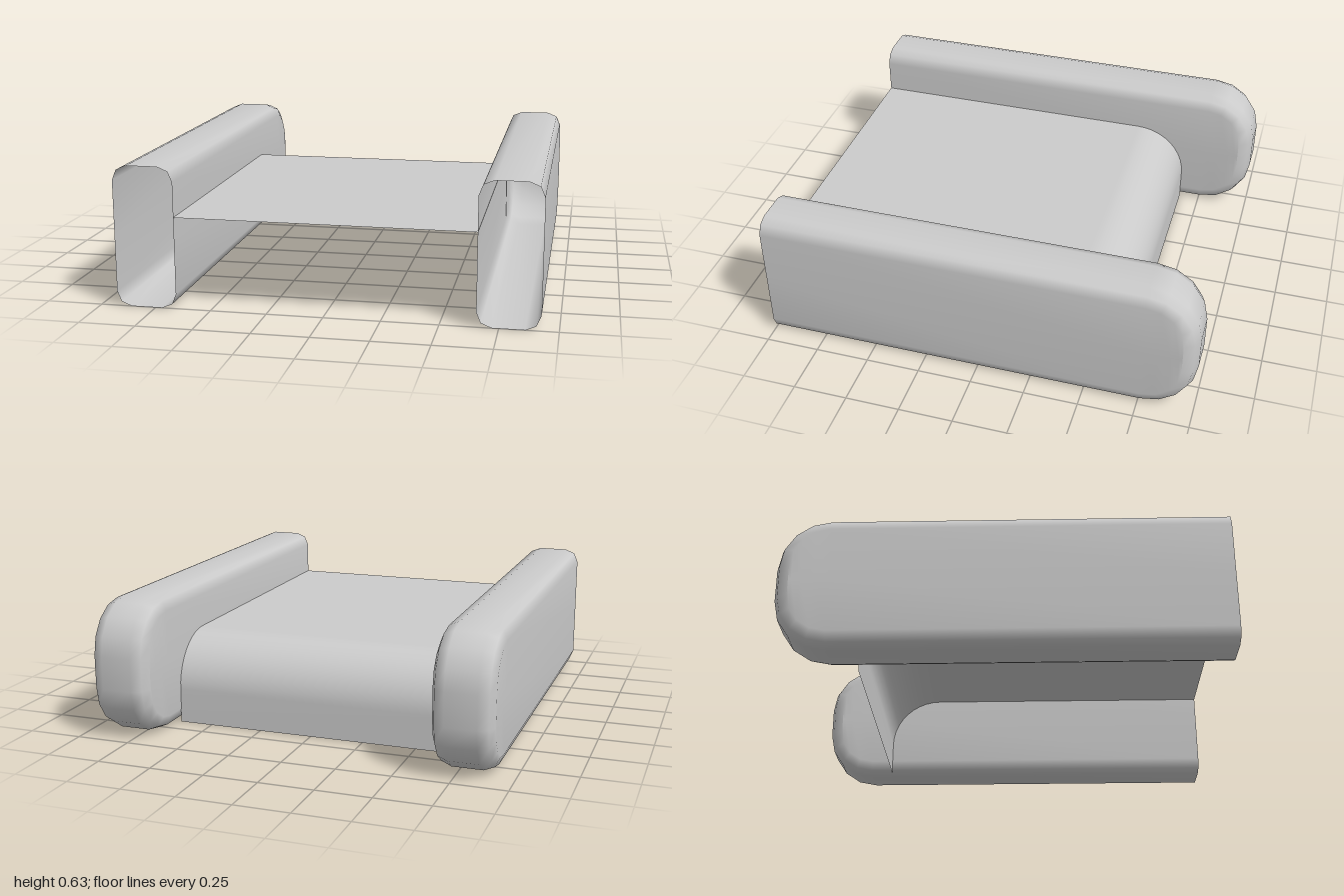
import * as THREE from 'three';

const material = new THREE.MeshStandardMaterial({ color: 0xcccccc, side: THREE.DoubleSide });

// Smooth surface through a grid of [x, y, z] points, rows[i][j]
function gridSurface(rows) {
  const cols = rows[0].length, index = [];
  for (let i = 0; i < rows.length - 1; i++) {
    for (let j = 0; j < cols - 1; j++) {
      const a = i * cols + j, b = a + cols;
      index.push(a, b, a + 1, b, b + 1, a + 1);
    }
  }
  const geometry = new THREE.BufferGeometry();
  geometry.setAttribute('position', new THREE.Float32BufferAttribute(rows.flat(2), 3));
  geometry.setIndex(index);
  geometry.computeVertexNormals();
  return geometry;
}

// Quarter arc in the side plane as [z, y] points
function arc(cz, cy, r, from, to, segments) {
  return Array.from({ length: segments + 1 }, (_, i) => {
    const t = from + (to - from) * i / segments;
    return [cz + r * Math.cos(t), cy + r * Math.sin(t)];
  });
}

// Hollow side rail: open at the front, rounded at the back, bevelled along its edges
function railGeometry() {
  const H = 0.63, half = 0.135, R = 0.24, bevel = 0.065;
  const outline = inset => [
    [1, inset],
    ...arc(-1 + R, R, R - inset, -Math.PI / 2, -Math.PI, 4),
    ...arc(-1 + R, H - R, R - inset, Math.PI, Math.PI / 2, 4),
    [1, H - inset],
  ];
  // Each column: x position, inset of the outline, and whether it closes the wall at mid height
  const edge = [0, 1, 2].map(k => {
    const t = k * Math.PI / 4;
    return [half - bevel + bevel * Math.cos(t), bevel * (1 - Math.sin(t))];
  });
  const columns = [
    [-half, bevel, true],
    ...edge.map(([x, inset]) => [-x, inset, false]),
    ...edge.slice().reverse().map(([x, inset]) => [x, inset, false]),
    [half, bevel, true],
  ];
  const outlines = columns.map(c => outline(c[1]));
  const rows = outlines[0].map((_, i) => columns.map(([x, , middle], j) => {
    const [z, y] = outlines[j][i];
    return [x, middle ? H / 2 : y, z];
  }));
  return gridSurface(rows);
}

export function createModel() {
  const model = new THREE.Group();
  model.name = 'railedPlatform';

  // Side rails
  const rail = railGeometry();
  for (const [name, side] of [['leftRail', 1], ['rightRail', -1]]) {
    const mesh = new THREE.Mesh(rail, material);
    mesh.name = name;
    mesh.position.x = side * 0.79;
    model.add(mesh);
  }

  // Thin deck that bends down to the ground at the back
  const path = [[-0.65, 0], ...arc(-0.4, 0.16, 0.25, Math.PI, Math.PI / 2, 10), [1, 0.41]];
  const deck = new THREE.Mesh(
    gridSurface(path.map(([z, y]) => [[-0.657, y, z], [0.657, y, z]])), material);
  deck.name = 'deck';
  model.add(deck);

  return model;
}
